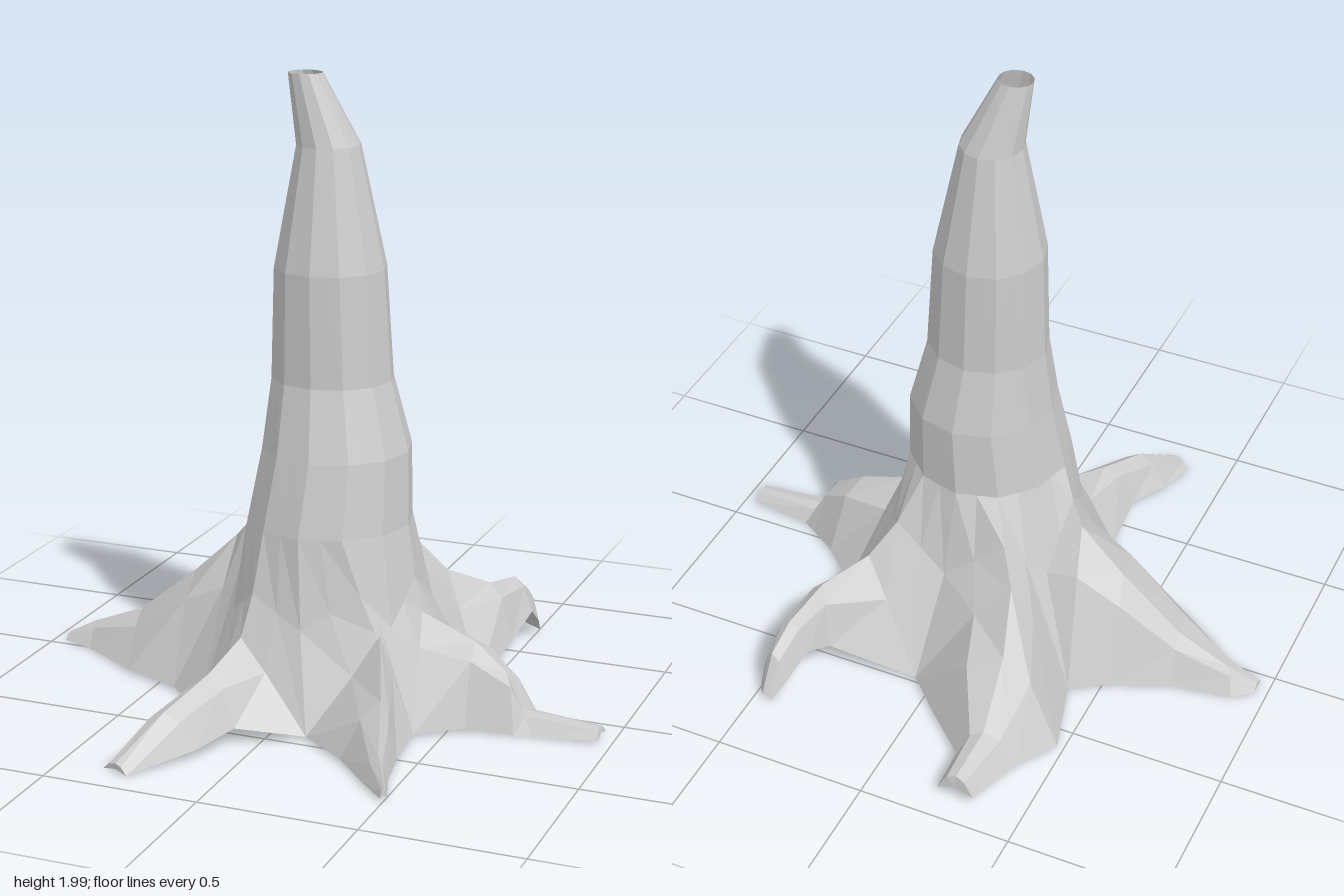
import * as THREE from 'three';

const bark = new THREE.MeshStandardMaterial({ color: 0xcccccc, flatShading: true, side: THREE.DoubleSide });

// Skin a mesh over rows of points; rows run downward / outward
function skin(name, rows, wrap) {
  const n = rows[0].length, index = [];
  const cols = wrap ? n : n - 1;
  for (let i = 0; i < rows.length - 1; i++) {
    for (let j = 0; j < cols; j++) {
      const k = (j + 1) % n;
      const a = i * n + j, b = i * n + k, c = a + n, d = b + n;
      index.push(a, b, c, b, d, c);
    }
  }
  const geo = new THREE.BufferGeometry().setFromPoints(rows.flat());
  geo.setIndex(index);
  geo.computeVertexNormals();
  const mesh = new THREE.Mesh(geo, bark);
  mesh.name = name;
  return mesh;
}

// Roots: shoulder height, then stations of two ground edges (x, z each),
// edge height, and ridge x, z, height
const roots = {
  leftRoot: { shoulder: .82, stations: [
    [.47, -.17, .42, .32, .02, .36, .08, .33],
    [.60, -.05, .55, .22, .02, .54, .09, .26],
    [.70, .02, .70, .19, .01, .65, .11, .18],
    [.75, .05, .75, .18, .01, .70, .11, .07],
    [.96, .07, .96, .16, .02, .95, .115, .05],
  ] },
  frontLeftRoot: { shoulder: .68, stations: [
    [.42, .32, .12, .46, .02, .29, .27, .31],
    [.44, .52, .28, .58, .02, .38, .50, .19],
    [.47, .68, .40, .71, .02, .44, .68, .10],
    [.51, .79, .49, .80, .02, .50, .79, .05],
  ] },
  frontRightRoot: { shoulder: .75, stations: [
    [.12, .46, -.27, .39, .02, -.13, .38, .28],
    [-.07, .57, -.27, .58, .06, -.17, .54, .21],
    [-.13, .72, -.33, .72, .04, -.23, .73, .15],
    [-.27, .91, -.36, .88, .01, -.31, .90, .04],
  ] },
  rightRoot: { shoulder: .82, stations: [
    [-.27, .39, -.41, -.33, .02, -.33, -.05, .46],
    [-.43, .24, -.54, -.25, .02, -.48, -.06, .32],
    [-.63, .16, -.70, -.18, .02, -.69, -.07, .15],
    [-.85, .01, -.90, -.14, .01, -.86, -.08, .08],
    [-.96, -.03, -.96, -.09, .01, -.96, -.06, .03],
  ] },
  backRightRoot: { shoulder: .82, stations: [
    [-.41, -.33, .06, -.49, .02, -.22, -.36, .40],
    [-.48, -.58, -.05, -.60, .02, -.27, -.53, .27],
    [-.40, -.72, -.21, -.75, .03, -.29, -.72, .13],
    [-.34, -.91, -.22, -.91, .04, -.28, -.90, .10],
  ] },
  backLeftRoot: { shoulder: .75, stations: [
    [.06, -.49, .47, -.17, .02, .30, -.33, .33],
    [.35, -.53, .50, -.42, .08, .41, -.45, .26],
    [.38, -.62, .51, -.60, .12, .44, -.62, .23],
    [.41, -.72, .51, -.68, .06, .46, -.71, .16],
    [.44, -.77, .50, -.73, .01, .47, -.77, .03],
  ] },
};

// Five-point arch: edge, shoulder, ridge, shoulder, edge
function arch([lx, lz, rx, rz, low, x, z, y], height, inset) {
  const L = new THREE.Vector3(lx, low, lz), R = new THREE.Vector3(rx, low, rz);
  const top = new THREE.Vector3(x, y, z);
  const shoulder = (edge) => {
    const p = edge.clone().lerp(top, inset);
    p.y = low + (y - low) * height;
    return p;
  };
  return [L, shoulder(L), top, shoulder(R), R];
}

// Trunk rings: height, x range, z range
const trunkRings = [
  [2, -.10, .01, 0, .10],
  [1.78, -.08, .12, -.08, .125],
  [1.4, -.15, .205, -.15, .20],
  [1.05, -.16, .23, -.16, .21],
  [.83, -.185, .29, -.21, .27],
  [.6, -.225, .30, -.22, .32],
];

// Twelve corners, plus midpoints that line up with the root shoulders
function withMidpoints(points) {
  return points.flatMap((p, i) => [p, p.clone().lerp(points[(i + 1) % points.length], .5)]);
}

function trunkRing([y, x0, x1, z0, z1]) {
  const points = [];
  for (let k = 0; k < 12; k++) {
    const a = (k - 1) * Math.PI / 6;
    points.push(new THREE.Vector3(
      (x0 + x1) / 2 + (x1 - x0) / 2 * Math.cos(a), y,
      (z0 + z1) / 2 + (z1 - z0) / 2 * Math.sin(a)));
  }
  return withMidpoints(points);
}

export function createModel() {
  const model = new THREE.Group();
  model.name = 'treeStump';
  const base = [];

  // Roots, each an open arch narrowing to a closed tip
  for (const [name, { shoulder, stations }] of Object.entries(roots)) {
    const rows = stations.map((s, i) => arch(s, i ? shoulder : shoulder - .1, i ? .5 : .62));
    base.push(...rows[0].slice(0, 4));
    const last = rows[rows.length - 1];
    const tip = last[0].clone().add(last[4]).add(last[2]).divideScalar(3);
    rows.push(last.map(() => tip.clone()));
    model.add(skin(name, rows, false));

    // Underside of the root that arches off the ground
    if (name === 'backLeftRoot') {
      const under = rows.slice(1, -1).map((r) => [r[4].clone(), r[0].clone()]);
      model.add(skin('archedRootUnderside', under, false));
    }
  }

  // Trunk, open at the top, flaring through a collar into the roots
  const rings = trunkRings.map(trunkRing);
  const lowest = rings[rings.length - 1];
  const collar = [];
  for (let k = 0; k < 24; k += 2) {
    const valley = k % 4 === 0;
    const p = lowest[k].clone().lerp(base[k], valley ? .29 : .48);
    p.y = valley ? .32 : THREE.MathUtils.lerp(.6, base[k].y, .6);
    collar.push(p);
  }
  model.add(skin('trunk', [...rings, withMidpoints(collar), base], true));
  return model;
}
